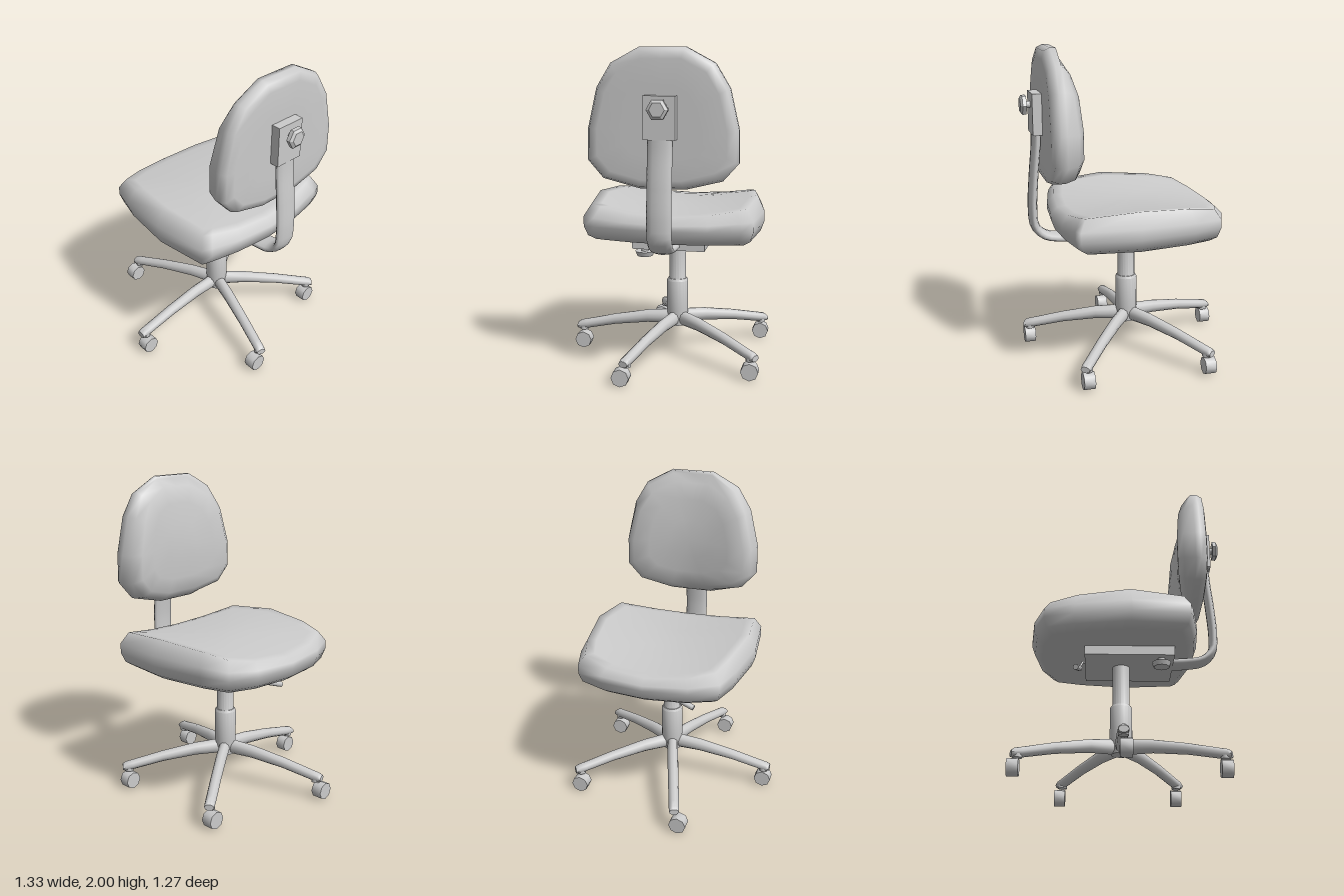
import * as THREE from 'three';
import { toCreasedNormals } from 'three/addons/utils/BufferGeometryUtils.js';

const material = new THREE.MeshStandardMaterial({ color: 0xcccccc });
const CZ = -0.055; // z of the column axis

function add(parent, name, geometry, x = 0, y = 0, z = 0) {
  const mesh = new THREE.Mesh(geometry, material);
  mesh.name = name;
  mesh.position.set(x, y, z);
  parent.add(mesh);
  return mesh;
}

// Skin closed rings of points [x, y, z] and close both ends with a fan.
function loft(rings) {
  const n = rings[0].length;
  const pts = rings.flat();
  const index = [];
  for (let r = 0; r < rings.length - 1; r++) {
    for (let i = 0; i < n; i++) {
      const a = r * n + i, b = r * n + (i + 1) % n;
      index.push(a, b, b + n, a, b + n, a + n);
    }
  }
  for (const r of [0, rings.length - 1]) {
    const mid = [0, 1, 2].map(k => rings[r].reduce((s, p) => s + p[k], 0) / n);
    const c = pts.push(mid) - 1;
    for (let i = 0; i < n; i++) {
      const a = r * n + i, b = r * n + (i + 1) % n;
      index.push(...(r ? [a, b, c] : [b, a, c]));
    }
  }
  // Turn the faces outward if the enclosed volume is negative
  let volume = 0;
  const v = pts.map(p => new THREE.Vector3(...p));
  for (let i = 0; i < index.length; i += 3) {
    volume += v[index[i]].dot(v[index[i + 1]].clone().cross(v[index[i + 2]]));
  }
  if (volume < 0) index.reverse();
  const geometry = new THREE.BufferGeometry();
  geometry.setAttribute('position', new THREE.Float32BufferAttribute(pts.flat(), 3));
  geometry.setIndex(index);
  geometry.computeVertexNormals();
  return geometry;
}

// Complete a half outline [along, half width] with its mirrored side
const mirrored = half => [
  ...half,
  ...half.filter(p => p[1] > 0).reverse().map(([a, w]) => [a, -w]),
];

function rod(parent, name, from, to, radius, sides) {
  const a = new THREE.Vector3(...from), b = new THREE.Vector3(...to);
  const d = b.clone().sub(a);
  const geometry = new THREE.CylinderGeometry(radius, radius, d.length(), sides);
  const mesh = add(parent, name, geometry, ...a.add(b).multiplyScalar(0.5).toArray());
  mesh.quaternion.setFromUnitVectors(new THREE.Vector3(0, 1, 0), d.normalize());
}

// Seat cushion: scaled outlines stacked upward, dished across its width
function seatGeometry() {
  const outline = mirrored([
    [-0.577, 0], [-0.545, 0.272], [-0.473, 0.45], [-0.293, 0.505], [0.055, 0.555],
    [0.41, 0.518], [0.43, 0.45], [0.47, 0.25], [0.49, 0],
  ]);
  const top = (x, w) => 1.035 - 0.15 * x * x + 0.2 * w * w;
  const levels = [
    [0.5, () => 0.835], [0.88, () => 0.835], [0.96, () => 0.865], [1, () => 0.925],
    [1, (x, w) => 0.96 + 0.1 * w * w], [0.92, top], [0.82, top], [0.55, top], [0.25, top],
  ];
  return loft(levels.map(([s, height]) => outline.map(([a, b]) => {
    const x = -0.043 + (a + 0.043) * s, w = b * s;
    return [x, height(x, w), w - 0.064];
  })));
}

// Backrest cushion: flat rear, front with side wings curving forward
function backGeometry() {
  const outline = mirrored([
    [2, 0], [2, 0.137], [1.91, 0.305], [1.77, 0.39], [1.53, 0.445],
    [1.345, 0.447], [1.24, 0.355], [1.185, 0.137], [1.185, 0],
  ]);
  const front = (y, w) =>
    0.385 + 0.25 * (y - 1.47) ** 2 - 0.035 * Math.min(1, (w / 0.32) ** 2);
  const levels = [
    [0.5, () => 0.543], [0.85, () => 0.543], [0.96, () => 0.532], [1, () => 0.495],
    [1, () => 0.46], [0.95, (y, w) => front(y, w) + 0.035],
    [0.84, front], [0.6, front], [0.3, front],
  ];
  return loft(levels.map(([s, depth]) => outline.map(([a, b]) => {
    const y = 1.56 + (a - 1.56) * s, w = b * s;
    return [depth(y, w), y, CZ + w];
  })));
}

// Star base leg along +z: [distance, centre height, half height, half width]
function legGeometry() {
  const stations = [
    [0, 0.25, 0.05, 0.036], [0.2, 0.238, 0.042, 0.036], [0.42, 0.203, 0.035, 0.034],
    [0.62, 0.158, 0.032, 0.033], [0.665, 0.15, 0.03, 0.032], [0.685, 0.145, 0.02, 0.03],
  ];
  const rings = stations.map(([d, y, h, w]) => Array.from({ length: 10 }, (_, i) => {
    const t = (i / 10) * Math.PI * 2;
    return [Math.cos(t) * w, y + Math.sin(t) * h, d];
  }));
  return toCreasedNormals(loft(rings), 0.8);
}

export function createModel() {
  const chair = new THREE.Group();
  chair.name = 'officeChair';

  add(chair, 'seat', seatGeometry());
  add(chair, 'backrest', backGeometry());
  add(chair, 'seatPlate', new THREE.BoxGeometry(0.56, 0.06, 0.45), 0.05, 0.806, CZ);

  // Flattened bent bar joining the seat plate to the backrest
  const path = new THREE.CatmullRomCurve3([
    [0.25, 0.803], [0.42, 0.808], [0.53, 0.83], [0.59, 0.89], [0.603, 1],
    [0.592, 1.2], [0.573, 1.4], [0.568, 1.52],
  ].map(([x, y]) => new THREE.Vector3(x, y, 0)));
  const bar = new THREE.TubeGeometry(path, 28, 0.028, 12).scale(1, 1, 2.65);
  add(chair, 'backBar', bar, 0, 0, CZ);
  add(chair, 'backBracket', new THREE.BoxGeometry(0.06, 0.25, 0.188), 0.57, 1.605, CZ);

  // Tightening knob behind the backrest
  rod(chair, 'backKnobStem', [0.59, 1.655, CZ], [0.64, 1.655, CZ], 0.022, 10);
  const knob = new THREE.CylinderGeometry(0.045, 0.064, 0.012, 6).translate(0, 0.018, 0);
  const backKnob = new THREE.Group();
  backKnob.name = 'backKnob';
  backKnob.position.set(0.638, 1.655, CZ);
  backKnob.rotation.z = -Math.PI / 2;
  add(backKnob, 'knobBody', toCreasedNormals(new THREE.CylinderGeometry(0.064, 0.064, 0.024, 6), 0.5));
  add(backKnob, 'knobFace', toCreasedNormals(knob, 0.5));
  chair.add(backKnob);

  // Tension knob under the seat plate
  rod(chair, 'tensionStem', [0.25, 0.73, 0.108], [0.25, 0.79, 0.108], 0.022, 10);
  add(chair, 'tensionKnob', new THREE.CylinderGeometry(0.062, 0.05, 0.03, 10), 0.25, 0.733, 0.108);

  // Height lever
  rod(chair, 'leverRod', [-0.225, 0.81, -0.04], [-0.245, 0.805, -0.03], 0.007, 8);
  rod(chair, 'leverRod', [-0.245, 0.808, -0.03], [-0.265, 0.73, 0.05], 0.007, 8);
  rod(chair, 'leverGrip', [-0.263, 0.732, 0.045], [-0.283, 0.688, 0.175], 0.018, 8);

  // Column: lower sleeve with a chamfered rim, upper gas lift
  const profile = [
    [0, 0.2], [0.06, 0.2], [0.07, 0.3], [0.07, 0.5], [0.06, 0.515],
    [0.055, 0.515], [0.055, 0.79], [0, 0.79],
  ].map(p => new THREE.Vector2(...p));
  const column = toCreasedNormals(new THREE.LatheGeometry(profile, 20), 0.6);
  add(chair, 'column', column, 0, 0, CZ);

  // Five legs with casters, all wheels rolling the same way
  const leg = legGeometry();
  const wheel = toCreasedNormals(
    new THREE.CylinderGeometry(0.055, 0.055, 0.07, 8).rotateZ(Math.PI / 2), 0.9);
  const foot = new THREE.CylinderGeometry(0.03, 0.03, 0.03, 10);
  for (let i = 0; i < 5; i++) {
    const angle = (i * Math.PI * 2) / 5;
    const x = Math.sin(angle), z = Math.cos(angle);
    add(chair, 'baseLeg', leg, 0, 0, CZ).rotation.y = angle;
    add(chair, 'casterFoot', foot, x * 0.645, 0.135, CZ + z * 0.645);
    add(chair, 'casterWheel', wheel, x * 0.655 - 0.01 + (i ? 0 : 0.025), 0.055, CZ + z * 0.64 + (i === 1 || i === 4 ? 0.035 : 0));
  }
  return chair;
}
